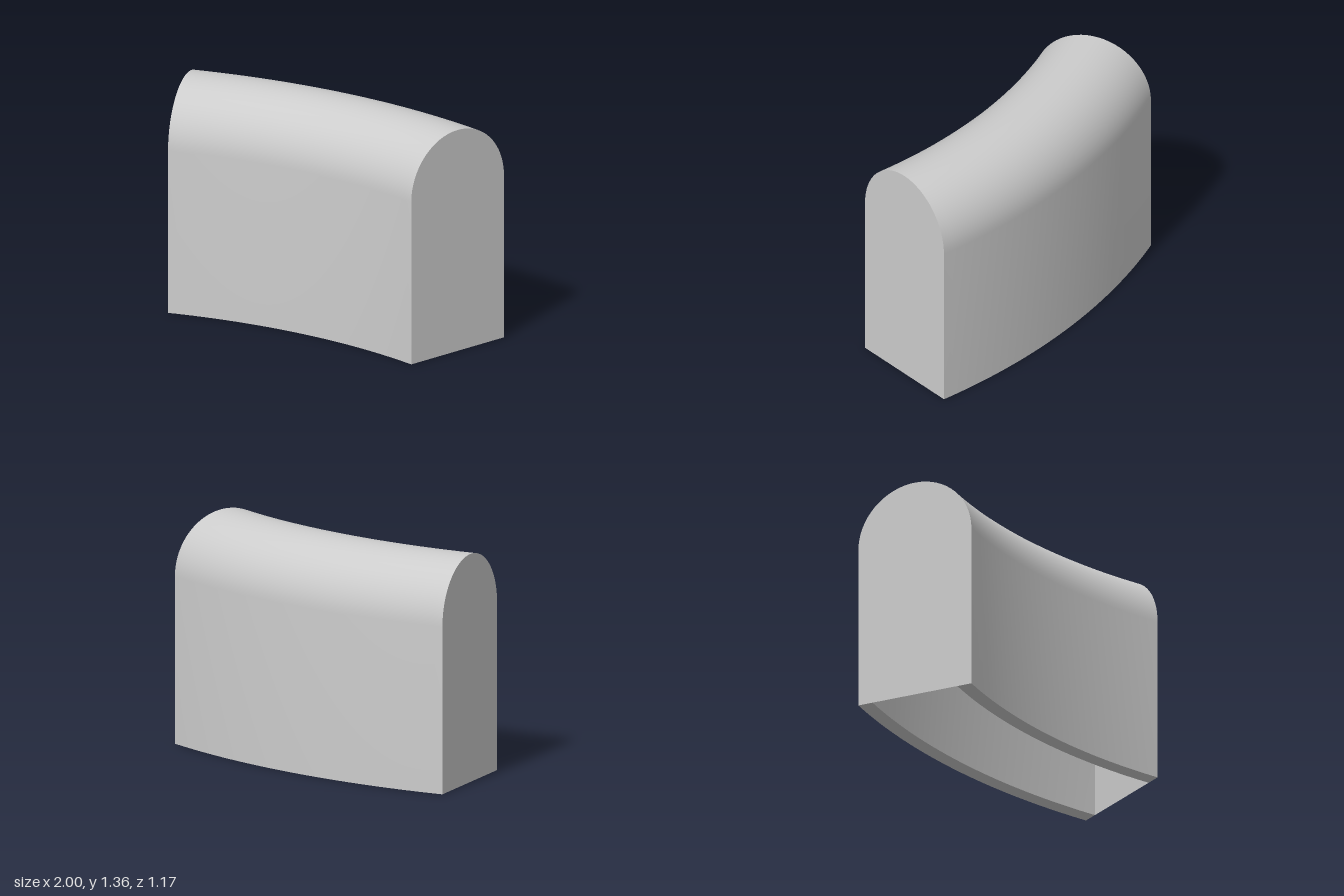
import * as THREE from 'three';
import { toCreasedNormals } from 'three/addons/utils/BufferGeometryUtils.js';

const UNIT = 1 / 11;            // wall thickness
const MID = 40 * UNIT;          // bend radius to the middle of the section
const SPRING = 11 * UNIT;       // height where the round top begins
const BEND = Math.PI / 6;       // total sweep
const CENTRE = new THREE.Vector3(-1, 0, 3.417); // axis of the bend

// Arch outline of a given half width: up the outer side, over, down the inner side
function arch(half) {
  const pts = [new THREE.Vector2(MID + half, 0)];
  for (let i = 0; i <= 32; i++) {
    const a = (Math.PI * i) / 32;
    pts.push(new THREE.Vector2(MID + half * Math.cos(a), SPRING + half * Math.sin(a)));
  }
  pts.push(new THREE.Vector2(MID - half, 0));
  return pts;
}

export function createModel() {
  const model = new THREE.Group();
  model.name = 'curvedArchedBlock';
  const grey = new THREE.MeshStandardMaterial({ color: 0xcccccc, side: THREE.DoubleSide });
  grey.name = 'lightGrey';

  // Hollow arched wall, open below, swept along the bend
  const outer = arch(4 * UNIT);
  const profile = [...outer, ...arch(3 * UNIT).reverse(), outer[0].clone()];
  const wall = new THREE.LatheGeometry(profile, 32, Math.PI - BEND, BEND);
  const shell = new THREE.Mesh(toCreasedNormals(wall, Math.PI / 6), grey);
  shell.name = 'archedShell';
  shell.position.copy(CENTRE);
  model.add(shell);

  // Thin flat panels closing both ends
  for (const [name, angle] of [['rightEndPanel', 0], ['leftEndPanel', BEND]]) {
    const panel = new THREE.Mesh(new THREE.ShapeGeometry(new THREE.Shape(outer)), grey);
    panel.name = name;
    panel.position.copy(CENTRE);
    panel.rotation.y = Math.PI / 2 - angle;
    model.add(panel);
  }
  return model;
}
